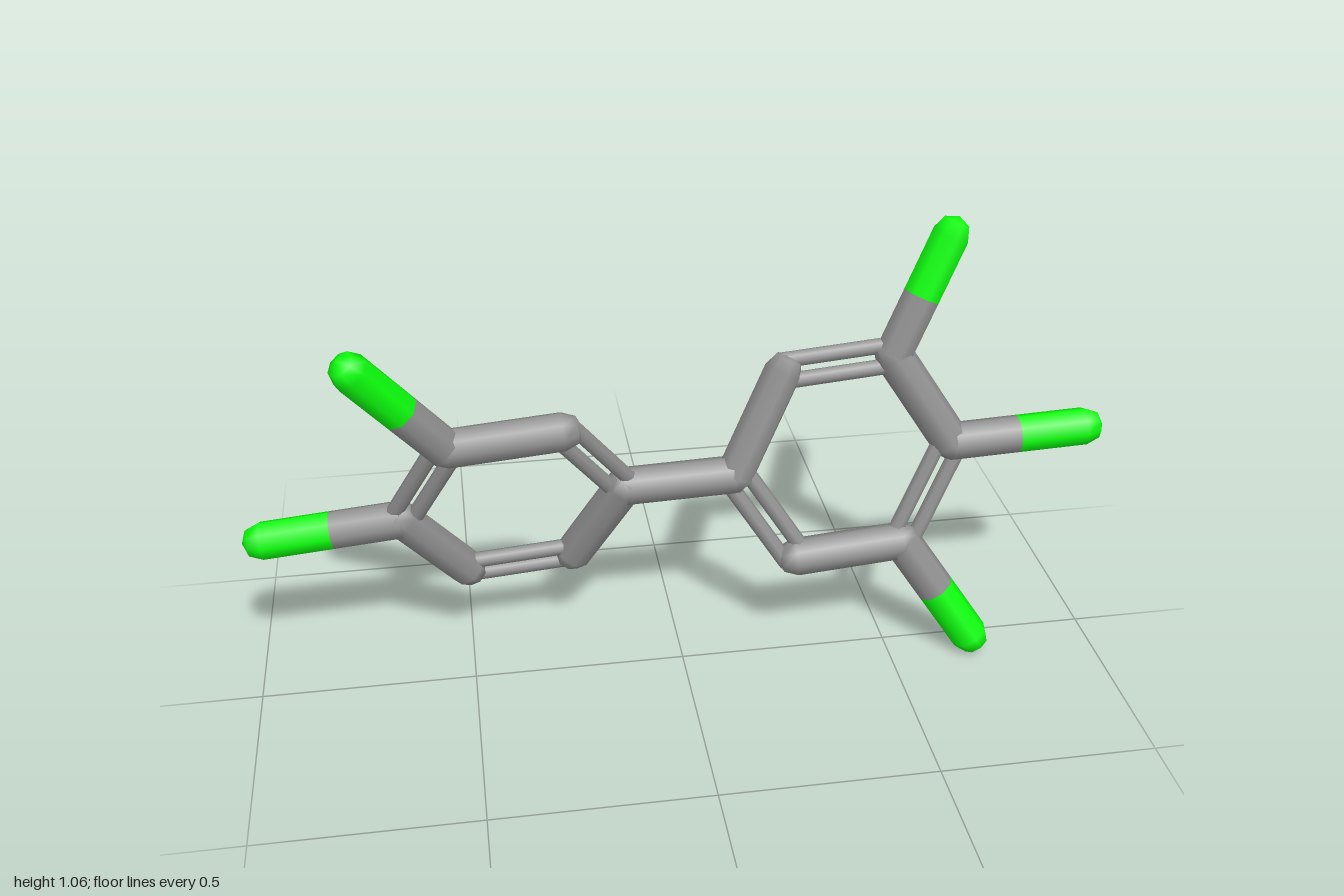
import * as THREE from 'three';

const R = 0.045;       // full stick radius
const THIN = 0.019;    // radius of each stick of a double bond
const GAP = 0.025;     // sideways shift of each stick of a double bond
const UP = new THREE.Vector3(0, 1, 0);
const V = (x, y, z) => new THREE.Vector3(x, y, z);

export function createModel() {
  const model = new THREE.Group();
  const grey = new THREE.MeshStandardMaterial({ color: 0x909090 });
  const green = new THREE.MeshStandardMaterial({ color: 0x0cff0c });

  function stick(name, a, b, radius, material, parent) {
    const d = b.clone().sub(a);
    const mesh = new THREE.Mesh(new THREE.CylinderGeometry(radius, radius, d.length(), 8, 1, true), material);
    mesh.position.copy(a).add(b).multiplyScalar(0.5);
    mesh.quaternion.setFromUnitVectors(UP, d.normalize());
    mesh.name = name;
    parent.add(mesh);
    return mesh;
  }

  // Low-poly rounded end, aligned with its stick
  function ball(name, p, radius, material, parent, quaternion) {
    const mesh = new THREE.Mesh(new THREE.SphereGeometry(radius, 8, 4), material);
    mesh.position.copy(p);
    mesh.quaternion.copy(quaternion);
    mesh.name = name;
    parent.add(mesh);
  }

  // Hexagonal ring from its centre and two neighbouring corner vectors;
  // every other side, starting with the given one, is a double bond
  function ring(name, centre, a, b, firstDouble) {
    const group = new THREE.Group();
    group.name = name;
    model.add(group);
    const c = b.clone().sub(a);
    const corners = [a, b, c, a.clone().negate(), b.clone().negate(), c.clone().negate()]
      .map((v) => v.clone().add(centre));
    const normal = a.clone().cross(b).normalize();
    corners.forEach((p, i) => {
      const q = corners[(i + 1) % 6];
      if (i % 2 !== firstDouble) {
        const bar = stick('singleBond', p, q, R, grey, group);
        for (const end of [p, q]) ball('ringJoint', end, R, grey, group, bar.quaternion);
        return;
      }
      const side = q.clone().sub(p).cross(normal).normalize();
      for (const s of [-GAP, GAP]) {
        const p2 = p.clone().addScaledVector(side, s);
        const q2 = q.clone().addScaledVector(side, s);
        const bar = stick('doubleBond', p2, q2, THIN, grey, group);
        for (const end of [p2, q2]) ball('doubleBondEnd', end, THIN, grey, group, bar.quaternion);
      }
    });
    return corners;
  }

  // Two-coloured arm with a rounded green tip
  function arm(from, to) {
    const group = new THREE.Group();
    group.name = 'arm';
    model.add(group);
    const mid = from.clone().lerp(to, 0.5);
    stick('armBase', from, mid, R, grey, group);
    const end = stick('armEnd', mid, to, R, green, group);
    ball('armTip', to, R, green, group, end.quaternion);
  }

  // Ring on the -x side, corners run from the bridge over the top
  const A = ring('rightRing', V(-0.385, 0.453, -0.045), V(0.255, 0.022, 0.003), V(0.115, 0.22, 0.08), 0);
  // Ring on the +x side, corners run from the outer end over the top
  const B = ring('leftRing', V(0.382, 0.513, -0.028), V(0.255, 0.023, 0.003), V(0.115, 0.235, -0.045), 1);

  stick('bridge', A[0], B[3], R, grey, model);

  arm(A[2], V(-0.703, 0.893, 0.116));
  arm(A[3], V(-0.955, 0.397, -0.06));
  arm(B[1], V(0.622, 1.016, -0.113));
  arm(B[0], V(0.955, 0.555, -0.015));
  arm(B[5], V(0.695, 0.046, 0.076));

  return model;
}
